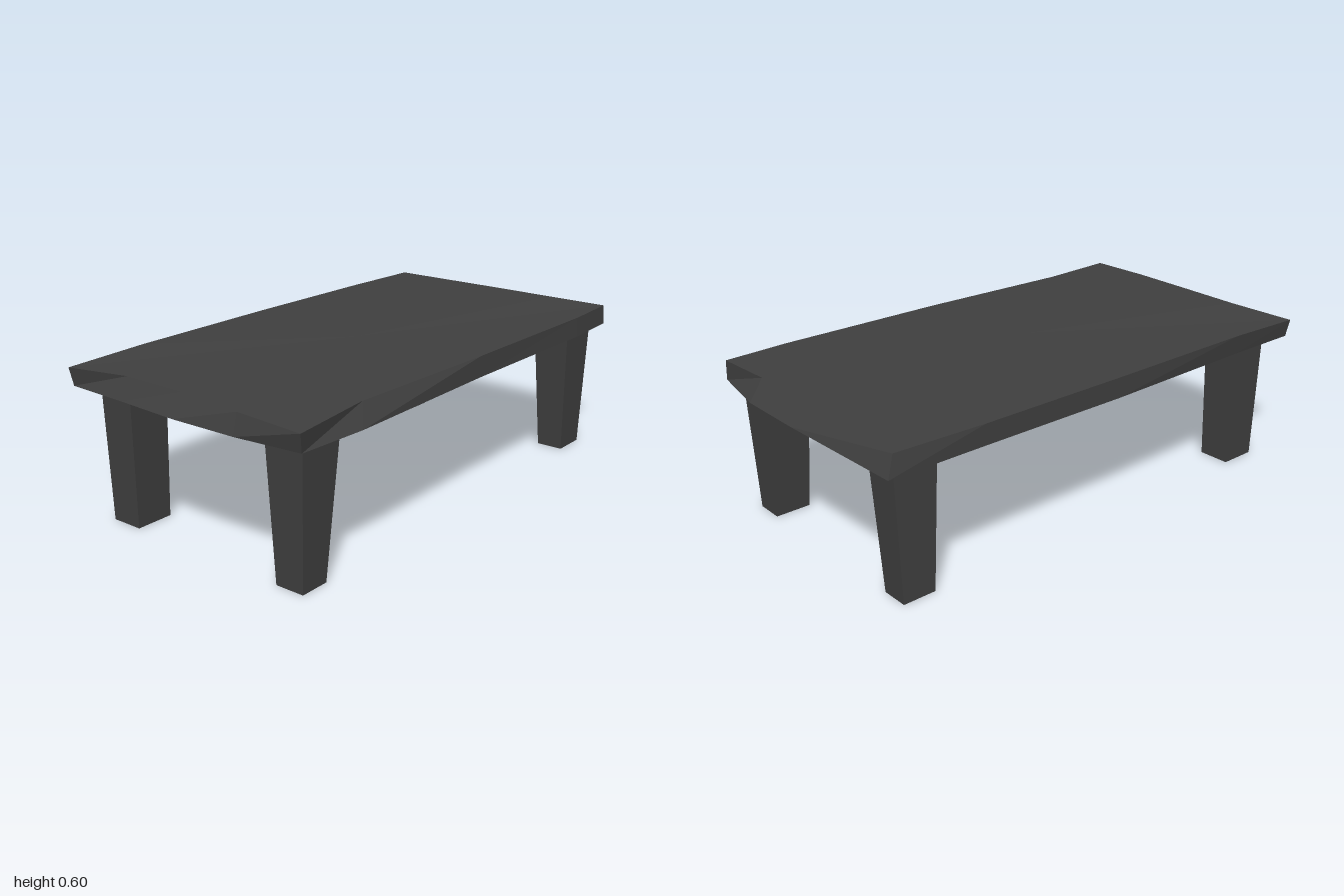
import * as THREE from 'three';

const material = new THREE.MeshStandardMaterial({ color: 0x404040, flatShading: true });

// Closed solid between two rings of [x, y, z], ordered counterclockwise seen from below
// (front-left, front-right, back-right, back-left), with fan caps
function loft(name, bottom, top) {
  const n = bottom.length;
  const center = ring => [0, 1, 2].map(k => ring.reduce((s, p) => s + p[k], 0) / n);
  const cb = center(bottom), ct = center(top);
  const v = [];
  for (let i = 0; i < n; i++) {
    const j = (i + 1) % n;
    v.push(bottom[i], bottom[j], top[j], bottom[i], top[j], top[i]);
    v.push(ct, top[i], top[j], cb, bottom[j], bottom[i]);
  }
  const geometry = new THREE.BufferGeometry();
  geometry.setAttribute('position', new THREE.Float32BufferAttribute(v.flat(), 3));
  geometry.computeVertexNormals();
  const mesh = new THREE.Mesh(geometry, material);
  mesh.name = name;
  return mesh;
}

// Rectangle ring at a height
const rect = (x0, x1, z0, z1, y) => [[x0, y, z1], [x1, y, z1], [x1, y, z0], [x0, y, z0]];

export function createModel() {
  const group = new THREE.Group();
  group.name = 'lowTable';

  // Rough-hewn slab: uneven outlines for the underside and upper face
  const under = [
    [-0.97, 0.53], [-0.7, 0.545], [0, 0.53], [0.7, 0.535], [0.955, 0.52],
    [1, 0.27], [1, 0], [0.985, -0.54],
    [0.6, -0.54], [0, -0.545], [-0.65, -0.53], [-0.975, -0.53],
    [-0.985, -0.27], [-1, 0], [-0.995, 0.27],
  ].map(([x, z]) => [x, 0.52, z]);
  const upper = [
    [-0.985, 0.59, 0.54], [-0.65, 0.597, 0.506], [0, 0.598, 0.527], [0.7, 0.597, 0.53], [0.955, 0.597, 0.515],
    [0.945, 0.6, 0.27], [0.94, 0.602, 0], [0.955, 0.597, -0.525],
    [0.6, 0.597, -0.54], [0, 0.598, -0.545], [-0.65, 0.597, -0.54], [-0.985, 0.588, -0.54],
    [-0.95, 0.6, -0.27], [-0.955, 0.602, 0], [-0.975, 0.597, 0.27],
  ];
  group.add(loft('tableTop', under, upper));

  // Tapered legs: [x0, x1, z0, z1] at the foot and where they meet the slab
  const legs = {
    frontRightLeg: [[-0.905, -0.79, 0.35, 0.465], [-0.91, -0.73, 0.32, 0.48]],
    frontLeftLeg: [[0.755, 0.895, 0.35, 0.46], [0.73, 0.915, 0.32, 0.475]],
    backRightLeg: [[-0.895, -0.745, -0.46, -0.33], [-0.905, -0.735, -0.47, -0.32]],
    backLeftLeg: [[0.76, 0.89, -0.455, -0.35], [0.735, 0.91, -0.455, -0.315]],
  };
  for (const [name, [foot, head]] of Object.entries(legs)) {
    group.add(loft(name, rect(...foot, 0), rect(...head, 0.525)));
  }
  return group;
}
